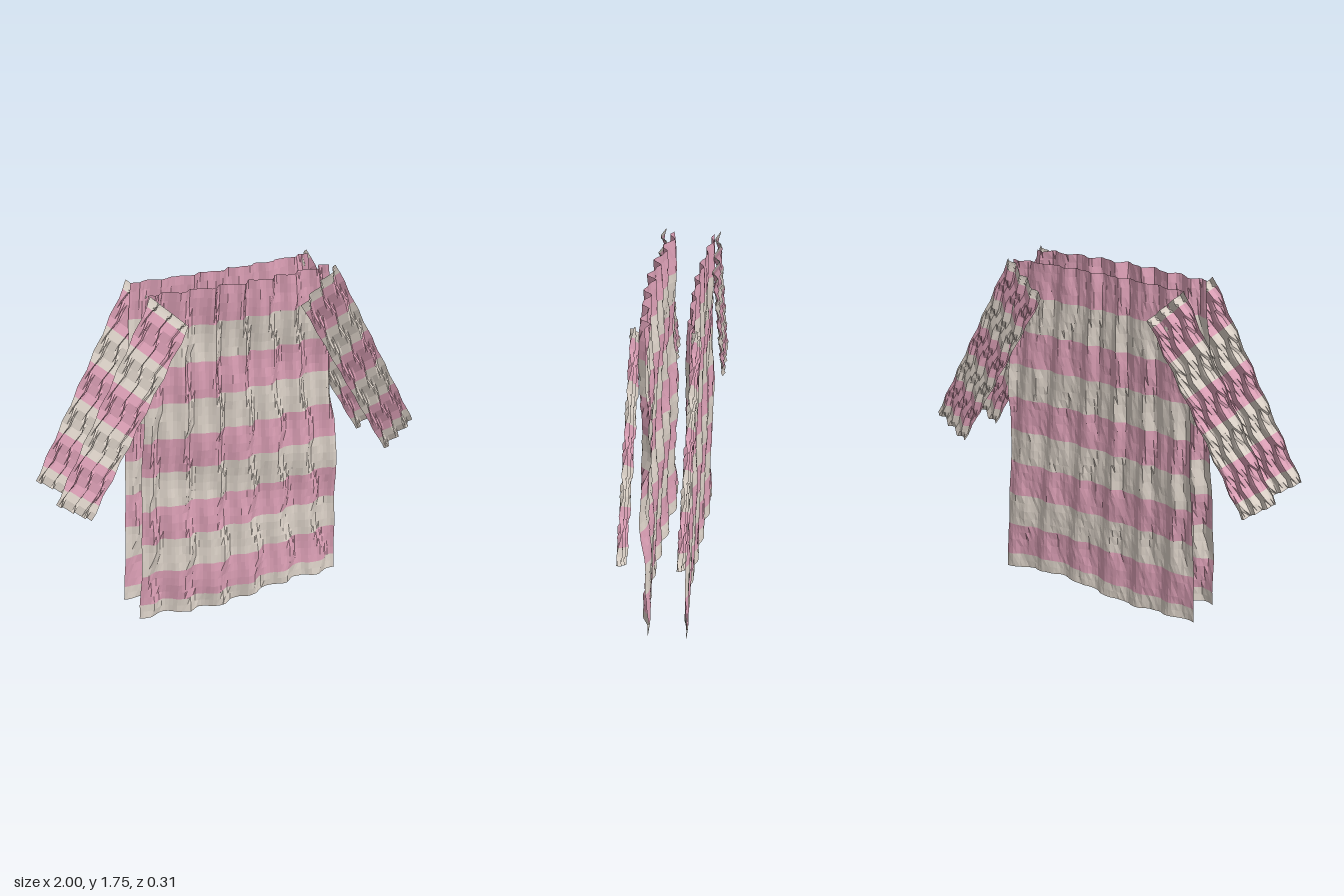
import * as THREE from 'three';

const cloth = (name, color) => {
  const m = new THREE.MeshStandardMaterial({ color, side: THREE.DoubleSide, flatShading: true });
  m.name = name;
  return m;
};

// repeatable value in -1..1 for small creases
const crease = (a, b) => {
  const n = Math.sin(a * 127.1 + b * 311.7) * 43758.5453;
  return (n - Math.floor(n)) * 2 - 1;
};

// pleat profile: slow rise, quick fall; centred on zero, -1..1
const pleat = (p) => {
  const f = p - Math.floor(p);
  if (f < 0.37) return f / 0.37;
  if (f < 0.63) return 1 - ((f - 0.37) / 0.26) * 2;
  return -1 + (f - 0.63) / 0.37;
};

// striped cloth sheet: place(s, t) gives a point, s in -1..1 across, t in 0..1 upward
function sheet(name, place, length, columns, flip, materials) {
  const levels = [0];
  const bands = [];
  for (let k = 0, lo = 0, hi = 0.083; lo < length - 0.01; k++, lo = hi, hi += 0.1845) {
    if (hi > length - 0.03) hi = length;
    const rows = k === 0 ? 2 : 4;
    for (let i = 1; i <= rows; i++) {
      levels.push((lo + ((hi - lo) * i) / rows) / length);
      bands.push(k % 2);
    }
  }
  const points = [];
  levels.forEach((t, j) => {
    for (let i = 0; i <= columns; i++) points.push(...place((2 * i) / columns - 1, t, i, j));
  });
  const index = [];
  const geometry = new THREE.BufferGeometry();
  bands.forEach((band, j) => {
    geometry.addGroup(index.length, columns * 6, band);
    for (let i = 0; i < columns; i++) {
      const a = j * (columns + 1) + i, b = a + 1, c = a + columns + 1, d = c + 1;
      index.push(...(flip ? [a, d, b, a, c, d] : [a, b, d, a, d, c]));
    }
  });
  geometry.setAttribute('position', new THREE.Float32BufferAttribute(points, 3));
  geometry.setIndex(index);
  const flat = geometry.toNonIndexed();
  flat.computeVertexNormals();
  const mesh = new THREE.Mesh(flat, materials);
  mesh.name = name;
  return mesh;
}

export function createModel() {
  const group = new THREE.Group();
  group.name = 'stripedDress';
  const materials = [cloth('cream', 0xdcd2c8), cloth('pink', 0xdca0b6)];

  for (const side of [1, -1]) {
    const label = side > 0 ? 'front' : 'back';

    // body panel: flared sides, wavy hem, pleats that draw together toward the neckline
    const body = (s, t, i, j) => {
      const half = 0.48 + 0.1 * Math.pow(1 - t, 0.8);
      const x = s * half;
      const hem = 0.015 + 0.015 * Math.cos((2 * Math.PI * (x - 0.25)) / 0.8);
      const y = hem * Math.pow(1 - t, 6) + 1.74 * t;
      const sway = 0.08 * Math.sin(t * 29 + s * 3);
      const wave = pleat(s / (0.345 - 0.055 * t) + 0.5 * t + sway);
      const small = 0.005 * Math.sin(s * 37 + t * 9) + 0.002 * crease(i, j);
      const drape = 0.008 * Math.sin(t * 14 + s * 2);
      const z = side > 0
        ? 0.114 - 0.035 * s * s + 0.023 * wave + small + drape
        : -0.097 - 0.022 * s * s + 0.013 * wave + small + drape * 0.5;
      return [x, y, z];
    };
    group.add(sheet(label + 'Body', body, 1.74, 64, side < 0, materials));

    // sleeve panels: slanted strips with narrow lengthwise pleats
    for (const arm of [1, -1]) {
      const sleeve = (s, t) => {
        const u = (s * arm + 1) / 2; // 0 inner edge, 1 outer edge
        const x = (0.83 + 0.17 * u) * (1 - t) + (0.3 + 0.19 * u) * t;
        const y = (0.69 + 0.13 * u) * (1 - t) + (1.575 + 0.175 * u) * t;
        const wave = pleat(s * 1.5 + 0.5 + 0.16 * Math.sin(t * 36));
        const z = (side > 0 ? 0.132 : -0.14) + 0.019 * wave;
        return [arm * x, y, z];
      };
      const name = label + (arm > 0 ? 'LeftSleeve' : 'RightSleeve');
      group.add(sheet(name, sleeve, 1.05, 20, side < 0, materials));
    }
  }
  return group;
}
